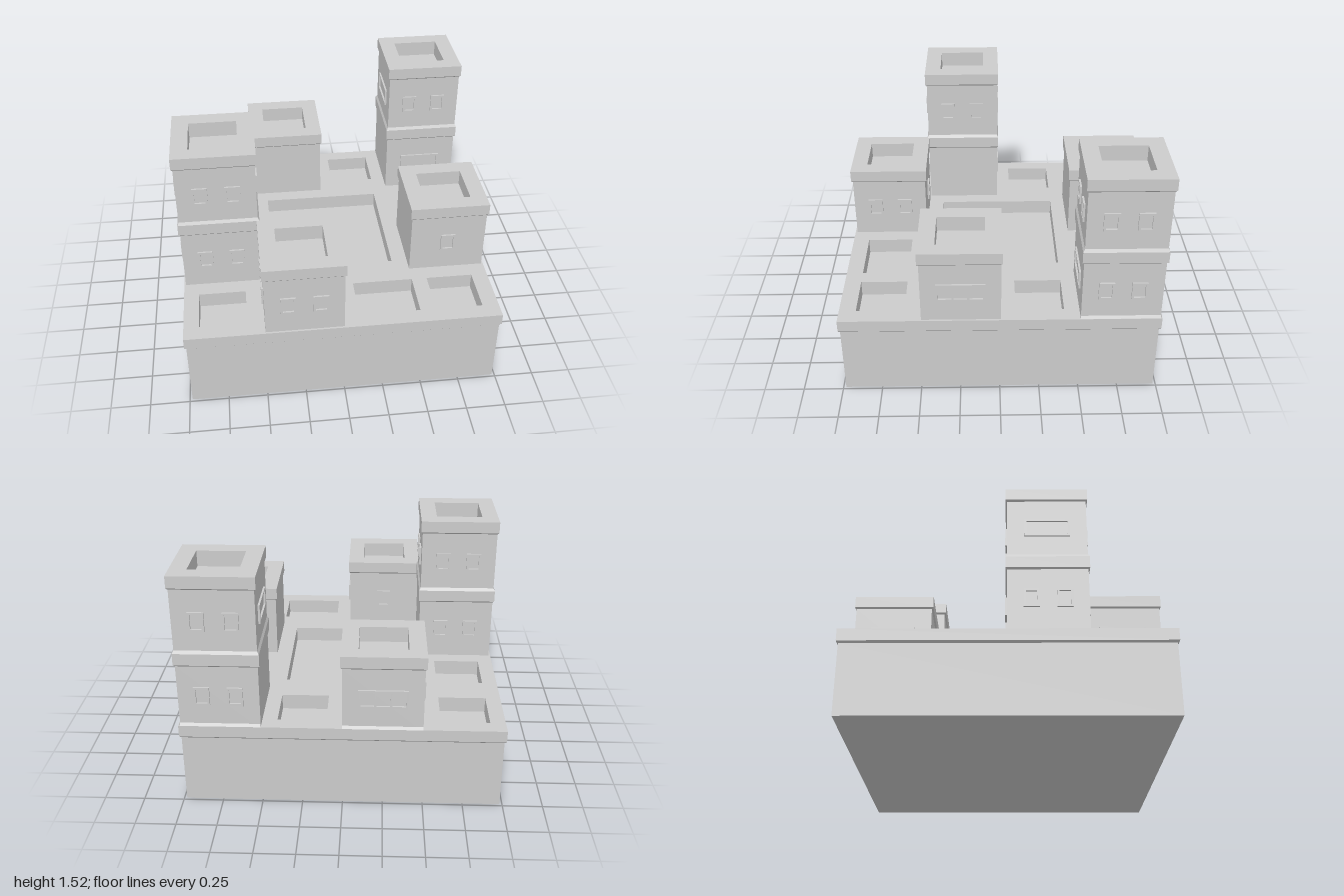
import * as THREE from 'three';

const material = new THREE.MeshStandardMaterial({ color: 0xcccccc });
const DECK = 0.54, STOREY = 0.49, DEPTH = 0.1;

function mesh(geometry, name) {
  const m = new THREE.Mesh(geometry, material);
  m.name = name;
  return m;
}

// Square solid lofted through [half width, height] pairs, with flat faces
function squareLoft(profile, name) {
  const points = profile.map(([h, y]) => new THREE.Vector2(h * Math.SQRT2, y));
  const g = new THREE.LatheGeometry(points, 4).rotateY(Math.PI / 4).toNonIndexed();
  g.computeVertexNormals();
  return mesh(g, name);
}

function rect(target, x0, y0, x1, y1) {
  target.moveTo(x0, y0);
  target.lineTo(x1, y0);
  target.lineTo(x1, y1);
  target.lineTo(x0, y1);
  target.closePath();
  return target;
}

// Window frame with one or more openings, standing just proud of the wall
function windowFrame(width, panes) {
  const h = 0.06, rim = 0.014;
  const shape = rect(new THREE.Shape(), -width / 2, -h, width / 2, h);
  const step = (width - rim) / panes;
  for (let i = 0; i < panes; i++) {
    const x = -width / 2 + rim + i * step;
    shape.holes.push(rect(new THREE.Path(), x, -h + rim, x + step - rim, h - rim));
  }
  const g = new THREE.ExtrudeGeometry(shape, { depth: 0.016, bevelEnabled: false });
  g.translate(0, 0, -0.004);
  return mesh(g, 'windowFrame');
}

const WINDOWS = {
  pair: [[-0.1, 0.095, 1], [0.1, 0.095, 1]],
  single: [[0, 0.095, 1]],
  triple: [[0, 0.3, 3]],
  wide: [[0, 0.28, 1]],
};
const TURN = { front: 0, left: Math.PI / 2, back: Math.PI, right: -Math.PI / 2 };
const WALL = 0.245, EDGE = 0.255;

// A tower of stacked storeys; windows are listed per storey and side
function tower(name, x, z, storeys, sills = []) {
  const group = new THREE.Group();
  group.name = name;
  const profile = [[WALL, DECK - 0.02]];
  storeys.forEach((sides, i) => {
    const y = DECK + i * STOREY, top = y + STOREY;
    if (i) profile.push([WALL, y + 0.02]);
    profile.push([WALL, top - 0.085], [EDGE, top - 0.075], [EDGE, top]);
    for (const [side, type] of Object.entries(sides)) {
      const wall = new THREE.Group();
      wall.name = side + 'Windows';
      wall.rotation.y = TURN[side];
      for (const [dx, width, panes] of WINDOWS[type]) {
        const frame = windowFrame(width, panes);
        frame.position.set(dx, y + 0.207, WALL);
        wall.add(frame);
      }
      group.add(wall);
    }
  });
  // Sunken roof
  const top = DECK + storeys.length * STOREY;
  profile.push([0.15, top], [0.15, top - DEPTH], [0, top - DEPTH]);
  group.add(squareLoft(profile, 'towerWalls'));

  // Sloped sills at the foot of the outer walls
  for (const side of sills) {
    const s = new THREE.Shape([[0, 0], [0.01, 0], [0, 0.018]].map(p => new THREE.Vector2(...p)));
    const g = new THREE.ExtrudeGeometry(s, { depth: 2 * WALL, bevelEnabled: false });
    g.translate(0, 0, -WALL).rotateY(-Math.PI / 2).translate(0, DECK, WALL);
    const sill = mesh(g, 'sill');
    sill.rotation.y = TURN[side];
    group.add(sill);
  }
  group.position.set(x, 0, z);
  return group;
}

export function createModel() {
  const model = new THREE.Group();
  model.name = 'towerBlock';

  // Plinth with projecting ledge; its inner top is the floor of the wells
  const floor = DECK - DEPTH;
  model.add(squareLoft([
    [0, 0], [0.983, 0], [0.983, 0.452], [0.995, 0.464], [0.995, DECK],
    [0.97, DECK], [0.97, floor], [0, floor],
  ], 'plinth'));

  // Deck with the courtyard and the small square wells cut through
  const deck = rect(new THREE.Shape(), -0.97, -0.97, 0.97, 0.97);
  const wells = [
    [-0.4, -0.4, 0.39, 0.39],
    [-0.9, -0.9, -0.6, -0.6], [0.1, -0.9, 0.4, -0.6],
    [-0.9, -0.4, -0.6, -0.1], [0.59, -0.4, 0.89, -0.1],
    [-0.9, 0.59, -0.6, 0.89], [0.1, 0.59, 0.49, 0.89], [0.59, 0.59, 0.89, 0.89],
  ];
  for (const [x0, z0, x1, z1] of wells) {
    deck.holes.push(rect(new THREE.Path(), x0, -z1, x1, -z0));
  }
  const deckGeometry = new THREE.ExtrudeGeometry(deck, { depth: DEPTH, bevelEnabled: false });
  deckGeometry.rotateX(-Math.PI / 2).translate(0, floor, 0);
  model.add(mesh(deckGeometry, 'deck'));

  // Two tall towers and three low ones
  model.add(
    tower('tallBackTower', 0.738, -0.74, [
      { front: 'wide', left: 'pair', back: 'pair' },
      { front: 'pair', left: 'pair', back: 'pair', right: 'wide' },
    ], ['left', 'back']),
    tower('tallSideTower', -0.739, 0.24, [
      { front: 'pair', back: 'pair', right: 'pair' },
      { front: 'pair', left: 'pair', back: 'pair', right: 'wide' },
    ]),
    tower('lowFrontTower', -0.248, 0.737, [
      { front: 'pair', left: 'pair', right: 'pair', back: 'single' },
    ]),
    tower('lowSideTower', 0.738, 0.237, [{ front: 'single', left: 'triple' }]),
    tower('lowBackTower', -0.245, -0.742, [{ back: 'triple', right: 'wide' }], ['back']),
  );
  return model;
}
